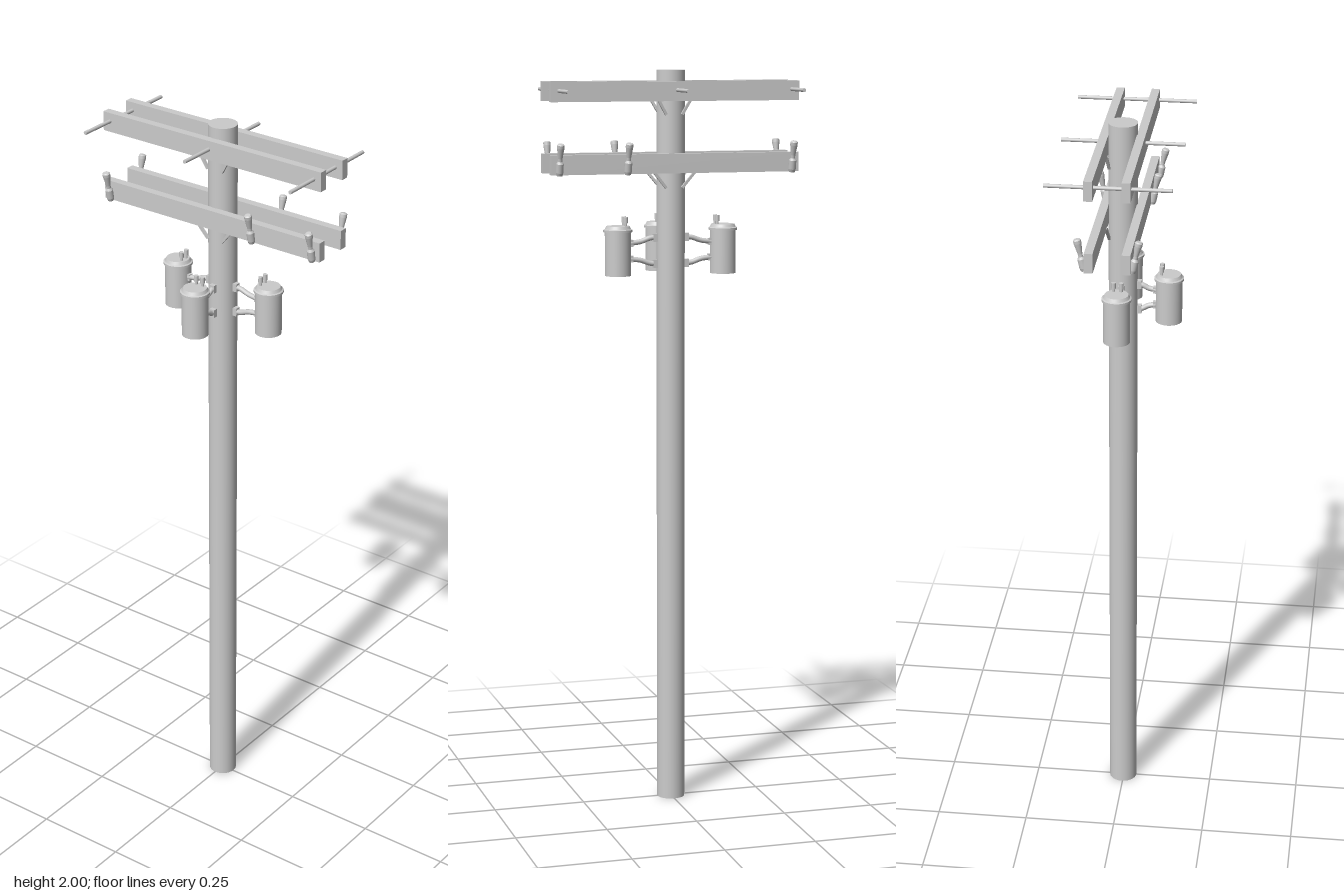
import * as THREE from 'three';

const mat = new THREE.MeshStandardMaterial({ color: 0xcccccc });
const V = (x, y, z) => new THREE.Vector3(x, y, z);

function add(parent, name, geometry, x = 0, y = 0, z = 0) {
  const mesh = new THREE.Mesh(geometry, mat);
  mesh.name = name;
  mesh.position.set(x, y, z);
  parent.add(mesh);
  return mesh;
}

// Lathe with hard edges: every profile segment becomes its own band
function lathe(parent, name, profile, segments = 32) {
  const part = new THREE.Group();
  part.name = name;
  for (let i = 0; i < profile.length - 1; i++) {
    const pts = [profile[i], profile[i + 1]].map(([r, y]) => new THREE.Vector2(r, y));
    add(part, name + 'Band', new THREE.LatheGeometry(pts, segments));
  }
  parent.add(part);
  return part;
}

// Tank with rim, lid, two bushings and a pair of bent arms; reaches along +x
function transformer(distance) {
  const g = new THREE.Group();
  g.name = 'transformer';
  const tank = lathe(g, 'tank', [
    [0, 1.455], [0.035, 1.455], [0.035, 1.572], [0.039, 1.572],
    [0.039, 1.578], [0.035, 1.58], [0.031, 1.588], [0, 1.588],
  ]);
  tank.position.x = distance;
  for (const s of [-1, 1]) {
    const bushing = lathe(g, 'bushing', [
      [0.004, 1.584], [0.004, 1.596], [0.006, 1.596], [0.006, 1.612], [0, 1.612],
    ], 16);
    bushing.position.set(distance - 0.019, 0, s * 0.01);

    // Arms leave the pole level, then bend towards the middle of the tank
    const span = distance - 0.07;
    const path = new THREE.CatmullRomCurve3([
      V(0.034, 1.52 + s * 0.035, 0),
      V(0.034 + span * 0.3, 1.52 + s * 0.034, 0),
      V(0.034 + span * 0.65, 1.52 + s * 0.025, 0),
      V(distance - 0.033, 1.52 + s * 0.021, 0),
    ]);
    add(g, 'supportArm', new THREE.TubeGeometry(path, 12, 0.007, 10));
    add(g, 'armFlange', new THREE.BoxGeometry(0.014, 0.022, 0.015), 0.042, 1.52 + s * 0.035, 0);
    add(g, 'tankLug', new THREE.BoxGeometry(0.01, 0.018, 0.012), distance - 0.037, 1.52 + s * 0.021, 0);
  }
  return g;
}

// Insulator that leans outward from a crossarm face
function insulator(x, side) {
  const g = new THREE.Group();
  g.name = 'insulator';
  lathe(g, 'insulatorBody', [
    [0, 0], [0.008, 0], [0.01, 0.008], [0.01, 0.032], [0.006, 0.038],
    [0.006, 0.046], [0.01, 0.074], [0.01, 0.082], [0.007, 0.085], [0, 0.085],
  ], 16);
  g.position.set(x, 1.728, side * 0.06);
  g.rotation.x = side * 0.21;
  add(g, 'insulatorClamp', new THREE.BoxGeometry(0.012, 0.016, 0.014), 0, 0.024, -side * 0.006);
  return g;
}

export function createModel() {
  const model = new THREE.Group();
  model.name = 'utilityPole';
  const g = new THREE.Group();
  g.name = 'poleAssembly';
  g.position.z = -0.002;
  model.add(g);

  add(g, 'pole', new THREE.CylinderGeometry(0.038, 0.038, 2, 40), 0, 1, 0);

  // Two levels of paired crossarms with diagonal braces beneath
  for (const [y, out, drop] of [[1.945, 0.045, 0.036], [1.755, 0.058, 0.04]]) {
    for (const side of [-1, 1]) {
      add(g, 'crossarm', new THREE.BoxGeometry(0.684, 0.052, 0.022), 0, y, side * 0.047);
      for (const s of [-1, 1]) {
        const a = V(s * out, y - 0.022, side * 0.038);
        const b = V(s * 0.022, y - 0.026 - drop, side * 0.034);
        const brace = add(g, 'brace', new THREE.BoxGeometry(0.007, a.distanceTo(b), 0.007));
        brace.position.copy(a).lerp(b, 0.5);
        brace.quaternion.setFromUnitVectors(V(0, 1, 0), a.sub(b).normalize());
      }
    }
  }

  // Long rods through the upper crossarms
  for (const x of [-0.321, -0.002, 0.32]) {
    const rod = add(g, 'throughRod', new THREE.CylinderGeometry(0.005, 0.005, 0.318, 12), x, 1.948, 0);
    rod.rotation.x = Math.PI / 2;
  }

  // Insulators on the lower crossarms
  for (const x of [-0.322, 0.135, 0.321]) {
    for (const side of [-1, 1]) g.add(insulator(x, side));
  }

  // Transformers on the left, right and front of the pole
  for (const [angle, distance] of [[0, 0.147], [Math.PI, 0.147], [-Math.PI / 2, 0.121]]) {
    const t = transformer(distance);
    t.rotation.y = angle;
    g.add(t);
  }
  return model;
}
